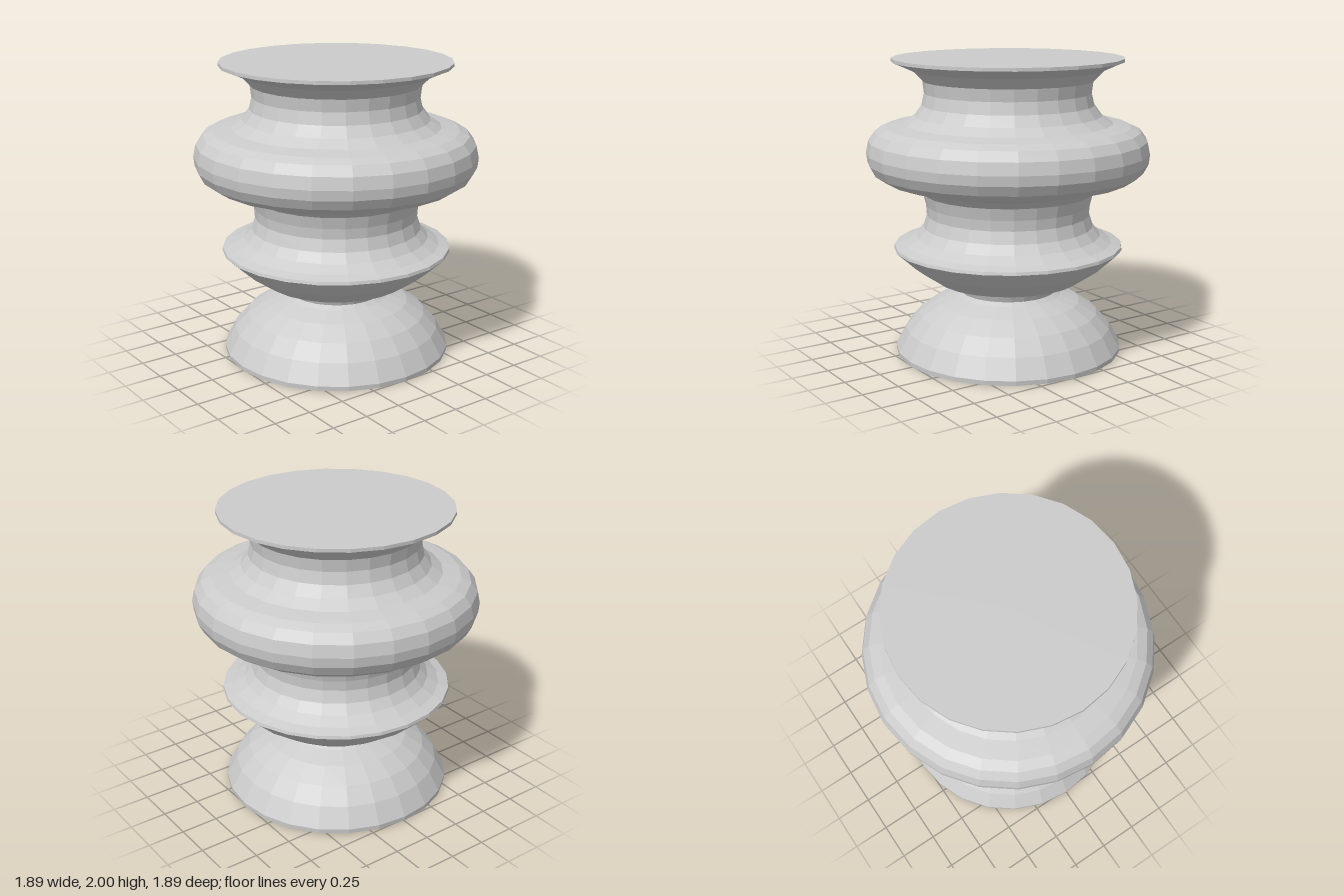
import * as THREE from 'three';

const SIDES = 24;

// Outer profile, foot rim to top, as [radius, height]
const foot = [[0.77, 0.005], [0.772, 0.035], [0.7, 0.165], [0.61, 0.265], [0.49, 0.345], [0.36, 0.393]];
const neck = [[0.325, 0.415], [0.34, 0.455]];
const bowl = [[0.49, 0.5], [0.65, 0.61], [0.775, 0.725], [0.77, 0.745]];
const lowerWaist = [[0.7, 0.765], [0.625, 0.81], [0.575, 0.87], [0.55, 0.95], [0.555, 1.02], [0.575, 1.1], [0.63, 1.15], [0.71, 1.18]];
const bulge = [[0.83, 1.2], [0.905, 1.25], [0.94, 1.315], [0.947, 1.38], [0.93, 1.46], [0.885, 1.52], [0.82, 1.55]];
const upperWaist = [[0.7, 1.57], [0.625, 1.62], [0.575, 1.69], [0.557, 1.77], [0.567, 1.85], [0.635, 1.92], [0.735, 1.965]];
const topRim = [[0.77, 1.978], [0.77, 2], [0, 2]];

// Hollow underside: closed neck recess, then the inside of the domed foot
const underside = [[0, 0.47], [0.32, 0.47], [0.295, 0.42], [0.31, 0.375], [0.46, 0.325], [0.58, 0.245], [0.67, 0.145], [0.74, 0.025], [0.75, 0]];

export function createModel() {
  const group = new THREE.Group();
  const material = new THREE.MeshStandardMaterial({ color: 0xcccccc, flatShading: true });

  // Each section starts on the last point of the one before, so the surface stays closed
  const sections = { underside, foot, neck, bowl, lowerWaist, bulge, upperWaist, topRim };
  let last = null;
  for (const [name, profile] of Object.entries(sections)) {
    const points = (last ? [last, ...profile] : profile).map(([r, y]) => new THREE.Vector2(r, y));
    const mesh = new THREE.Mesh(new THREE.LatheGeometry(points, SIDES), material);
    mesh.name = name;
    group.add(mesh);
    last = profile[profile.length - 1];
  }
  return group;
}
